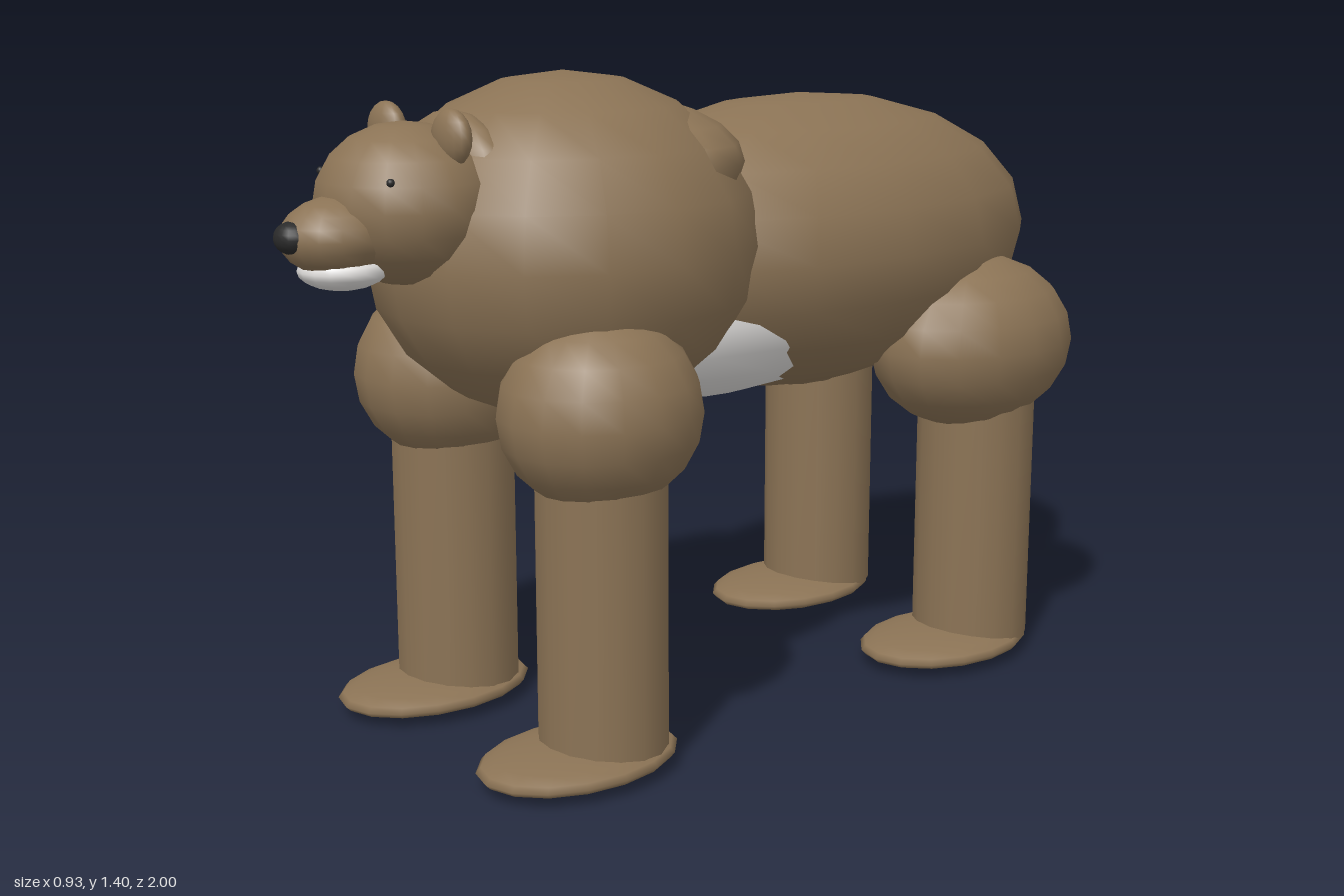
import * as THREE from 'three';

const mat = (name, hex) => {
  const m = new THREE.MeshStandardMaterial({ color: hex });
  m.name = name;
  return m;
};

export function createModel() {
  const fur = mat('brown fur', 0x8b7355);
  const pale = mat('pale fur', 0xe2e0de);
  const dark = mat('dark nose', 0x2a2a2a);

  const bear = new THREE.Group();
  bear.name = 'bear';

  // Every rounded part is a scaled sphere with few segments
  const ball = new THREE.SphereGeometry(1, 16, 10);
  const blob = (name, material, pos, radii, parent = bear) => {
    const m = new THREE.Mesh(ball, material);
    m.name = name;
    m.position.set(...pos);
    m.scale.set(...radii);
    parent.add(m);
    return m;
  };

  // Trunk
  blob('hindBody', fur, [0, 0.99, -0.33], [0.37, 0.33, 0.67]);
  blob('chest', fur, [0, 1.04, 0.33], [0.39, 0.36, 0.425]);
  blob('shoulderHump', fur, [0, 1.21, 0.18], [0.31, 0.13, 0.22]);
  blob('belly', pale, [0, 0.87, -0.05], [0.28, 0.2, 0.5]);

  // Head
  const head = new THREE.Group();
  head.name = 'head';
  bear.add(head);
  blob('neck', fur, [0, 1.17, 0.6], [0.185, 0.165, 0.08], head);
  blob('skull', fur, [0, 1.16, 0.715], [0.185, 0.16, 0.18], head);
  blob('snout', fur, [0, 1.11, 0.865], [0.1, 0.078, 0.12], head);
  blob('nose', dark, [0, 1.115, 0.965], [0.041, 0.032, 0.035], head);
  blob('chin', pale, [0, 1.045, 0.86], [0.087, 0.04, 0.088], head);
  for (const [side, s] of [['left', 1], ['right', -1]]) {
    blob(side + 'Ear', fur, [s * 0.115, 1.293, 0.68], [0.056, 0.056, 0.03], head);
    blob(side + 'Eye', dark, [s * 0.128, 1.22, 0.826], [0.008, 0.008, 0.008], head);
  }

  // Legs: rounded upper part, straight column, flat paw
  const column = new THREE.CylinderGeometry(0.135, 0.135, 0.62, 16);
  const legs = [
    { end: 'Front', z: 0.445, upperZ: 0.445, upperR: 0.215, pawZ: 0.51 },
    { end: 'Hind', z: -0.665, upperZ: -0.64, upperR: 0.27, pawZ: -0.575 },
  ];
  for (const { end, z, upperZ, upperR, pawZ } of legs) {
    for (const [side, s] of [['left', 1], ['right', -1]]) {
      const leg = new THREE.Group();
      leg.name = side + end + 'Leg';
      const x = s * 0.265;
      blob('upperLeg', fur, [x, 0.75, upperZ], [0.198, 0.2, upperR], leg);
      const lower = new THREE.Mesh(column, fur);
      lower.name = 'lowerLeg';
      lower.position.set(x, 0.35, z);
      leg.add(lower);
      blob('paw', fur, [x, 0.037, pawZ], [0.161, 0.036, 0.228], leg);
      bear.add(leg);
    }
  }

  return bear;
}
